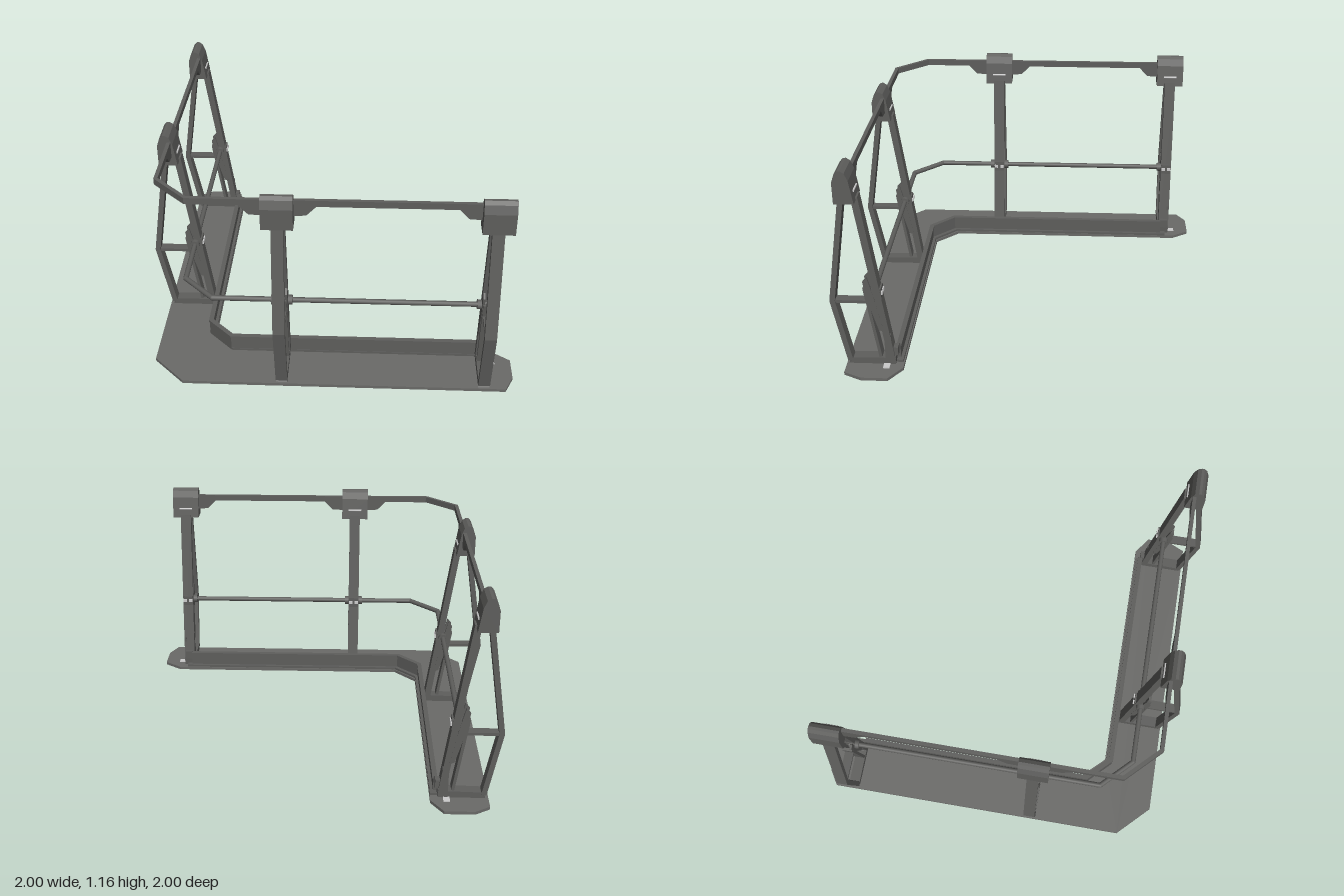
import * as THREE from 'three';

const frameGrey = new THREE.MeshStandardMaterial({ color: 0x5e5e5c });
const plateGrey = new THREE.MeshStandardMaterial({ color: 0x6a6a68 });
const boltGrey = new THREE.MeshStandardMaterial({ color: 0xcccccc });

function add(parent, name, geometry, material = frameGrey) {
  const mesh = new THREE.Mesh(geometry, material);
  mesh.name = name;
  parent.add(mesh);
  return mesh;
}

const toShape = (pts) => new THREE.Shape(pts.map(([a, b]) => new THREE.Vector2(a, b)));

// Outline of a band of constant width following an open polyline, with mitred corners
function band(pts, width) {
  const v = pts.map(([a, b]) => new THREE.Vector2(a, b));
  const left = [], right = [];
  v.forEach((p, i) => {
    const d0 = p.clone().sub(v[Math.max(i - 1, 0)]).normalize();
    const d1 = v[Math.min(i + 1, v.length - 1)].clone().sub(p).normalize();
    const t = d0.clone().add(d1).normalize();
    const ref = d1.lengthSq() > 0 ? d1 : d0;
    const n = new THREE.Vector2(-t.y, t.x).multiplyScalar(width / 2 / t.dot(ref));
    left.push([p.x + n.x, p.y + n.y]);
    right.unshift([p.x - n.x, p.y - n.y]);
  });
  return left.concat(right);
}

// Side profile (z, y) given a thickness along x
function profile(pts, width, x = 0) {
  const g = new THREE.ExtrudeGeometry(toShape(pts), { depth: width, bevelEnabled: false });
  return g.translate(0, 0, -width / 2).rotateY(-Math.PI / 2).translate(x, 0, 0);
}

// Plan outline (x, z) raised from y0 to y1
function slab(pts, y0, y1) {
  const shape = toShape(pts.map(([x, z]) => [x, -z]));
  const g = new THREE.ExtrudeGeometry(shape, { depth: y1 - y0, bevelEnabled: false });
  return g.rotateX(-Math.PI / 2).translate(0, y0, 0);
}

function box(w, h, d, x, y, z) {
  return new THREE.BoxGeometry(w, h, d).translate(x, y, z);
}

// Round rail through plan points (x, z), one straight tube per run with ball joints
function rail(parent, name, pts, y, r) {
  const group = new THREE.Group();
  group.name = name;
  const v = pts.map(([x, z]) => new THREE.Vector3(x, y, z));
  for (let i = 0; i < v.length - 1; i++) {
    const dir = v[i + 1].clone().sub(v[i]);
    const run = add(group, name + 'Run', new THREE.CylinderGeometry(r, r, dir.length(), 14));
    run.position.copy(v[i]).addScaledVector(dir, 0.5);
    run.quaternion.setFromUnitVectors(new THREE.Vector3(0, 1, 0), dir.normalize());
    if (i > 0) add(group, name + 'Elbow', new THREE.SphereGeometry(r, 14, 10)).position.copy(v[i]);
  }
  parent.add(group);
}

// One A-frame post centred on x = 0, outer side towards +z;
// clamp ears and gussets sit on the given sides (-1, 1)
function makePost(sides) {
  const post = new THREE.Group();
  post.name = 'post';
  add(post, 'outerLeg', profile(band([[0.895, 1.0], [0.985, 0.4], [0.915, 0.035]], 0.028), 0.062));
  add(post, 'innerLeg', profile(band([[0.828, 1.0], [0.692, 0.04]], 0.036), 0.064));
  add(post, 'innerStrut', profile(band([[0.815, 0.48], [0.752, 0.06]], 0.016), 0.058));
  add(post, 'crossbar', profile(band([[0.985, 0.395], [0.79, 0.395]], 0.016), 0.05));
  add(post, 'footBar', profile([[0.925, 0.015], [0.675, 0.015], [0.672, 0.07], [0.715, 0.055], [0.9, 0.05]], 0.06));
  for (const s of [-1, 1]) {
    add(post, 'strutPlate', profile(
      [[0.82, 0.52], [0.797, 0.545], [0.77, 0.44], [0.725, 0.22], [0.752, 0.23], [0.805, 0.42]], 0.012, s * 0.027));
  }

  // Cap that carries the top rail
  add(post, 'cap', profile([
    [0.92, 0.985], [0.92, 1.1], [0.905, 1.145], [0.89, 1.162], [0.875, 1.163],
    [0.855, 1.15], [0.838, 1.11], [0.818, 0.985]], 0.16));
  const pin = add(post, 'capPin', new THREE.CylinderGeometry(0.006, 0.006, 0.08, 8), boltGrey);
  pin.rotation.z = Math.PI / 2;
  pin.position.set(0, 1.04, 0.826);

  // Clamp for the middle rail
  add(post, 'clampBlock', box(0.062, 0.06, 0.05, 0, 0.45, 0.752));
  for (const s of [-1, 1]) add(post, 'clampBolt', box(0.022, 0.018, 0.012, s * 0.018, 0.452, 0.726), boltGrey);
  for (const s of sides) {
    const ear = add(post, 'railClamp', new THREE.CylinderGeometry(0.026, 0.026, 0.056, 12));
    ear.rotation.z = Math.PI / 2;
    ear.position.set(s * 0.028, 0.45, 0.768);

    // Tapered plate leading from the cap to the top rail
    const outline = [[0.07, 1.035], [0.142, 1.04], [0.2, 1.1], [0.2, 1.125], [0.07, 1.125]].map(([x, y]) => [s * x, y]);
    const gusset = new THREE.ExtrudeGeometry(toShape(outline), { depth: 0.02, bevelEnabled: false });
    add(post, 'railGusset', gusset.translate(0, 0, 0.847));
  }
  return post;
}

// Two posts of one arm; s tells which way along x the free end lies
function makeArm(name, s) {
  const arm = new THREE.Group();
  arm.name = name;
  const corner = makePost([-1, 1]);
  corner.position.x = s * -0.235;
  const end = makePost([-s]);
  end.position.x = s * 0.84;
  // Clip holding the free end of the toe board
  add(end, 'toeBoardClip', box(0.045, 0.05, 0.03, 0, 0.09, 0.675));
  add(end, 'toeBoardBracket', box(0.014, 0.18, 0.035, s * 0.024, 0.11, 0.71));
  add(end, 'anchorPlate', box(0.042, 0.006, 0.035, s * 0.051, 0.018, 0.72), boltGrey);
  arm.add(corner, end);
  return arm;
}

export function createModel() {
  const model = new THREE.Group();
  model.name = 'cornerGuardrail';

  // L-shaped foot plate with clipped corners
  add(model, 'basePlate', slab([
    [-0.94, -0.95], [-0.86, -1], [-0.7, -1], [-0.635, -0.9], [-0.635, 0.5], [-0.51, 0.63],
    [0.9, 0.63], [1, 0.7], [1, 0.84], [0.955, 0.935], [-0.765, 0.935], [-0.94, 0.76]], 0, 0.017), plateGrey);

  // Toe board with lip and foot flange along the inner edge
  const edge = (u, c, end) => [[-u, -end], [-u, c], [-c, u], [end, u]];
  add(model, 'toeBoard', slab(band(edge(0.662, 0.53, 0.82), 0.016), 0.015, 0.11));
  add(model, 'toeBoardLip', slab(band(edge(0.66, 0.53, 0.82), 0.026), 0.1, 0.112));
  add(model, 'toeBoardFlange', slab(band(edge(0.655, 0.52, 0.85), 0.036), 0.015, 0.03));

  // Flat top rail and round middle rail
  add(model, 'topRail', slab(band(edge(0.857, 0.685, 0.84), 0.02), 1.091, 1.125));
  rail(model, 'middleRail', edge(0.768, 0.603, 0.84), 0.45, 0.014);

  // Posts on both arms
  const front = makeArm('frontArm', 1);
  const side = makeArm('sideArm', -1);
  side.rotation.y = -Math.PI / 2;
  model.add(front, side);
  return model;
}
